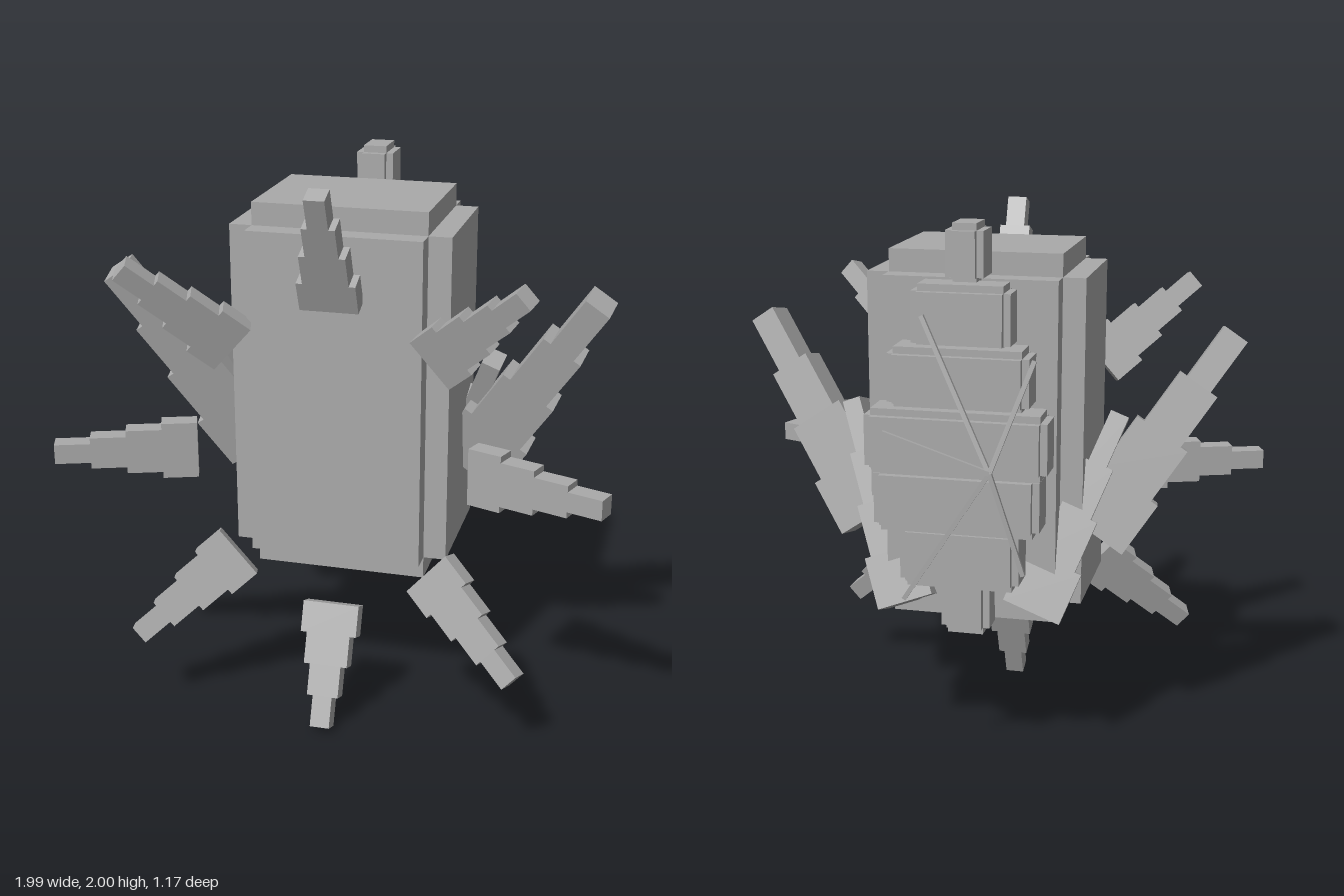
import * as THREE from 'three';

const stone = new THREE.MeshStandardMaterial({ color: 0xaaaaaa });
stone.name = 'plain grey';

const vec = (a) => new THREE.Vector3(...a);

function box(parent, name, w, h, d, x, y, z) {
  const mesh = new THREE.Mesh(new THREE.BoxGeometry(w, h, d), stone);
  mesh.name = name;
  mesh.position.set(x, y, z);
  parent.add(mesh);
  return mesh;
}

// Block with notched edges: three crossing boxes, each short on two axes
function notchedBlock(name, w, h, d, inset, x, y, z) {
  const group = new THREE.Group();
  group.name = name;
  const i = 2 * inset;
  box(group, name + 'Height', w - i, h, d - i, x, y, z);
  box(group, name + 'Width', w, h - i, d - i, x, y, z);
  box(group, name + 'Depth', w - i, h - i, d, x, y, z);
  return group;
}

// Group whose y axis runs from base to tip, with its z axis kept as near +z as possible
function along(name, base, tip) {
  const group = new THREE.Group();
  group.name = name;
  const axis = tip.clone().sub(base).normalize();
  const side = axis.clone().cross(new THREE.Vector3(0, 0, 1)).normalize();
  const front = side.clone().cross(axis);
  group.quaternion.setFromRotationMatrix(new THREE.Matrix4().makeBasis(side, axis, front));
  group.position.copy(base);
  return group;
}

// Limb of equal-length plates, narrowing step by step to the tip
function steppedLimb(name, base, tip, halfWidths, thickness) {
  const from = vec(base), to = vec(tip);
  const group = along(name, from, to);
  const step = from.distanceTo(to) / halfWidths.length;
  halfWidths.forEach((hw, i) =>
    box(group, name + 'Plate', hw * 2, step, thickness, 0, step * (i + 0.5), 0));
  return group;
}

export function createModel() {
  const model = new THREE.Group();
  model.name = 'spikedBlock';

  // Main body
  model.add(notchedBlock('body', 0.79, 1.36, 0.64, 0.082, 0, 1.21, 0.04));

  // Ring of eight forward-leaning spikes: [base x, base y, tip x, tip y] from the ring centre
  const spikeWidths = [0.104, 0.081, 0.058, 0.036];
  const spike = (bx, by, tx, ty) => model.add(steppedLimb('frontSpike',
    [bx, 1.003 + by, 0.378], [tx, 1.003 + ty, 0.55], spikeWidths, 0.07));
  for (const s of [1, -1]) {
    spike(0, s * 0.567, 0, s * 0.987);
    spike(s * 0.504, 0, s * 0.984, 0);
    for (const v of [1, -1]) spike(s * 0.36, v * 0.398, s * 0.696, v * 0.697);
  }

  // Large and small arms on each side
  for (const s of [1, -1]) {
    model.add(steppedLimb('largeArm', [s * 0.41, 0.86, -0.085], [s * 0.89, 1.575, 0.118],
      [0.14, 0.11, 0.08, 0.05], 0.12));
    model.add(steppedLimb('smallArm', [s * 0.23, 0.6, -0.285], [s * 0.5, 1.29, -0.03],
      [0.11, 0.085, 0.06, 0.035], 0.1));
  }

  // Curved stack of blocks down the back: [width, height, depth, y, z]
  const stack = [
    [0.135, 0.21, 0.175, 1.9, -0.29],
    [0.35, 0.23, 0.155, 1.69, -0.363],
    [0.5, 0.22, 0.17, 1.485, -0.405],
    [0.645, 0.23, 0.17, 1.27, -0.445],
    [0.59, 0.23, 0.17, 1.06, -0.435],
    [0.43, 0.23, 0.175, 0.845, -0.39],
    [0.18, 0.23, 0.14, 0.64, -0.315],
  ];
  for (const [w, h, d, y, z] of stack) {
    model.add(notchedBlock('backBlock', w, h, d, 0.025, 0, y, z));
  }

  // Thin rods spreading from one point behind the back
  const hub = [-0.14, 1.2, -0.585];
  const rodEnds = [
    [0.115, 1.71, -0.495], [-0.28, 1.58, -0.525], [0.235, 1.32, -0.582],
    [0.17, 0.72, -0.565], [-0.255, 0.84, -0.57],
  ];
  for (const end of rodEnds) {
    model.add(steppedLimb('backRod', hub, end, [0.008], 0.014));
  }

  return model;
}
